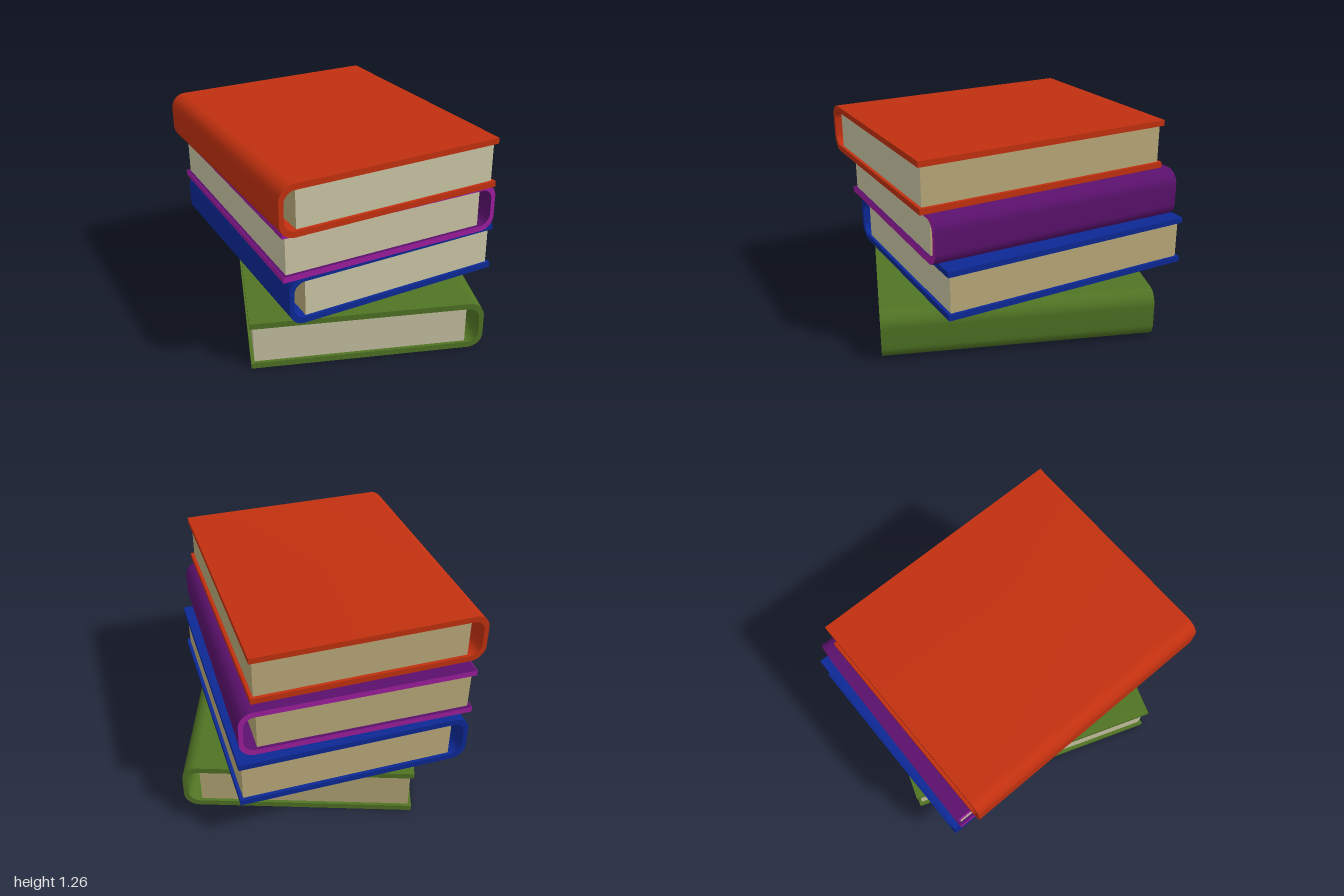
import * as THREE from 'three';
import { toCreasedNormals } from 'three/addons/utils/BufferGeometryUtils.js';

const W = 1.4, H = 0.308, D = 1.655;      // closed book size
const BOARD = 0.036, SPINE = 0.028;       // cover thicknesses
const R = 0.09, RI = 0.07;                // outer and inner spine corner radii
const GAP = 0.105, INSET = 0.02;          // hollow behind the pages, cover overhang

function material(name, color) {
  const m = new THREE.MeshStandardMaterial({ color });
  m.name = name;
  return m;
}

// C-shaped cover section; side = -1 puts the spine at -x, +1 at +x
function coverGeometry(side) {
  const x = (d) => side * (W / 2 - d);    // distance measured from the spine
  const s = new THREE.Shape();
  s.moveTo(x(W), 0);
  s.lineTo(x(R), 0);
  s.bezierCurveTo(x(R * 0.45), 0, x(0), R * 0.45, x(0), R);
  s.lineTo(x(0), H - R);
  s.bezierCurveTo(x(0), H - R * 0.45, x(R * 0.45), H, x(R), H);
  s.lineTo(x(W), H);
  s.lineTo(x(W), H - BOARD);
  const xi = SPINE + RI, top = H - BOARD, k = RI * 0.45;
  s.lineTo(x(xi), top);
  s.bezierCurveTo(x(SPINE + k), top, x(SPINE), top - k, x(SPINE), top - RI);
  s.lineTo(x(SPINE), BOARD + RI);
  s.bezierCurveTo(x(SPINE), BOARD + k, x(SPINE + k), BOARD, x(xi), BOARD);
  s.lineTo(x(W), BOARD);
  s.closePath();
  const g = new THREE.ExtrudeGeometry(s, { depth: D, bevelEnabled: false, curveSegments: 12 });
  g.translate(0, 0, -D / 2);
  return toCreasedNormals(g, 0.6);
}

export function createModel() {
  const model = new THREE.Group();
  model.name = 'bookStack';

  const red = material('red cover', 0xc0300f);
  const purple = material('purple cover', 0x5a116c);
  const magenta = material('magenta cover edge', 0x9c1c9c);
  const blue = material('blue cover', 0x0c2894);
  const green = material('green cover', 0x507424);
  const pale = material('pale paper', 0xc9c4a3);
  const tan = material('tan paper', 0xb8a878);

  const books = [
    { name: 'greenBook', x: 0.015, z: 0.015, y: 0, turn: -0.25, side: 1, cover: green, edge: green },
    { name: 'blueBook', x: -0.035, z: -0.112, y: 0.317, turn: 0.085, side: -1, cover: blue, edge: blue },
    { name: 'purpleBook', x: -0.065, z: -0.065, y: 0.634, turn: 0.07, side: 1, cover: purple, edge: magenta },
    { name: 'redBook', x: -0.13, z: 0.012, y: 0.949, turn: 0.09, side: -1, cover: red, edge: red },
  ];

  for (const b of books) {
    const book = new THREE.Group();
    book.name = b.name;

    const cover = new THREE.Mesh(coverGeometry(b.side), [b.edge, b.cover]);
    cover.name = 'cover';
    book.add(cover);

    // Page block, tan where it faces the spine
    const pw = W - GAP - INSET;
    const fore = b.side > 0 ? pale : tan;
    const pages = new THREE.Mesh(
      new THREE.BoxGeometry(pw, H - 2 * BOARD + 0.004, D - 2 * INSET),
      [tan, fore, tan, tan, pale, tan]
    );
    pages.name = 'pages';
    pages.position.set(b.side * (INSET - GAP) / 2, H / 2, 0);
    book.add(pages);

    // Coloured strips on the open edges of the boards
    if (b.edge !== b.cover) {
      for (const y of [BOARD / 2, H - BOARD / 2]) {
        const strip = new THREE.Mesh(new THREE.BoxGeometry(0.004, BOARD, D), b.edge);
        strip.name = 'boardEdge';
        strip.position.set(-b.side * (W / 2 + 0.001), y, 0);
        book.add(strip);
      }
    }

    book.position.set(b.x, b.y, b.z);
    book.rotation.y = b.turn;
    model.add(book);
  }
  return model;
}
